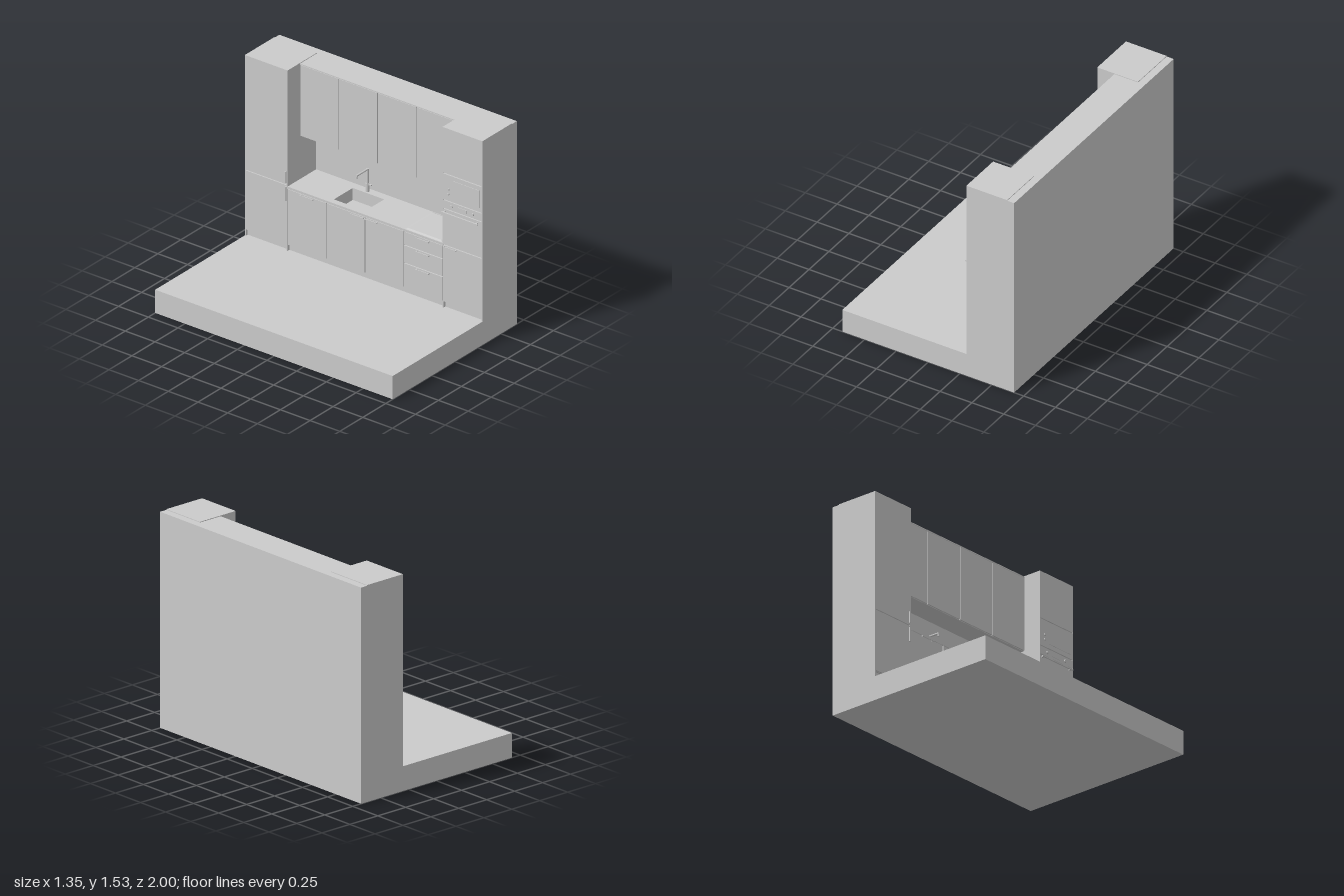
import * as THREE from 'three';

const grey = new THREE.MeshStandardMaterial({ color: 0xcccccc });

export function createModel() {
  const root = new THREE.Group();
  root.name = 'kitchenWall';

  const add = (name, geometry) => {
    const mesh = new THREE.Mesh(geometry, grey);
    mesh.name = name;
    root.add(mesh);
    return mesh;
  };
  // Box given by its bounds
  const box = (name, x0, x1, y0, y1, z0, z1) =>
    add(name, new THREE.BoxGeometry(x1 - x0, y1 - y0, z1 - z0)
      .translate((x0 + x1) / 2, (y0 + y1) / 2, (z0 + z1) / 2));
  const cylinder = (name, r, length, x, y, z, alongX = false) => {
    const g = new THREE.CylinderGeometry(r, r, length, 20);
    if (alongX) g.rotateZ(Math.PI / 2);
    return add(name, g.translate(x, y, z));
  };
  // Horizontal slab with the sink opening cut through it
  const sink = { x0: 0.345, x1: 0.55, z0: -0.285, z1: -0.02 };
  const slab = (name, x0, x1, z0, z1, yTop, depth) => {
    const rect = (path, a, b, c, d) =>
      path.moveTo(a, c).lineTo(b, c).lineTo(b, d).lineTo(a, d).closePath();
    const shape = rect(new THREE.Shape(), x0, x1, z0, z1);
    shape.holes.push(rect(new THREE.Path(), sink.x0, sink.x1, sink.z0, sink.z1));
    const g = new THREE.ExtrudeGeometry(shape, { depth, bevelEnabled: false });
    return add(name, g.rotateX(Math.PI / 2).translate(0, yTop, 0));
  };

  const F = 0.3, floorY = 0.175, kick = 0.22, top = 1.535, counterY = 0.66;
  const zA = -0.64, zB = 0.665, gap = 0.003;

  const door = (name, x, y0, y1, z0, z1) =>
    box(name, x, x + 0.015, y0 + gap, y1 - gap, z0 + gap, z1 - gap);
  // Bar handle running along z, on two short posts
  const handle = (y, z, length = 0.11) => {
    box('handleBar', F - 0.014, F - 0.009, y - 0.004, y + 0.004, z - length / 2, z + length / 2);
    for (const s of [-1, 1]) {
      const c = z + s * (length / 2 - 0.005);
      box('handlePost', F - 0.01, F + 0.002, y - 0.004, y + 0.004, c - 0.004, c + 0.004);
    }
  };

  // Room shell
  box('floor', -0.675, 0.675, 0, floorY, -1, 1);
  box('wall', 0.61, 0.675, floorY, 1.53, -1, 1);
  box('plinth', F + 0.02, 0.61, floorY, kick, -1, 1);

  // Tall units at both ends, each a carcass with side panels
  for (const [z0, z1] of [[-1, zA], [zB, 1]]) {
    box('tallCarcass', F + 0.01, 0.62, kick, top - 0.004, z0 + 0.002, z1 - 0.002);
    for (const z of [z0, z1 - 0.008]) {
      box('tallSidePanel', F, 0.62, floorY, top, z, z + 0.008);
    }
    box('tallTopPanel', F, 0.62, top - 0.008, top, z0, z1);
  }
  // Fridge doors with upright handles
  door('fridgeLowerDoor', F, kick, 0.67, -0.995, zA - 0.005);
  door('fridgeUpperDoor', F, 0.67, 1.53, -0.995, zA - 0.005);
  box('fridgeLowerHandle', F - 0.01, F + 0.002, 0.55, 0.655, zA - 0.018, zA - 0.01);
  box('fridgeUpperHandle', F - 0.01, F + 0.002, 0.685, 0.77, zA - 0.018, zA - 0.01);

  // Appliance tower: cupboard, oven, microwave, cupboard
  const t0 = zB + 0.005, t1 = 0.995;
  door('towerLowerDoor', F, kick, 0.65, t0, t1);
  handle(0.64, 0.73);
  door('ovenDoor', F, 0.65, 0.925, t0, t1);
  door('ovenPanel', F, 0.925, 0.99, t0, t1);
  door('microwaveFront', F, 0.99, 1.19, t0, t1);
  door('towerUpperDoor', F, 1.19, 1.53, t0, t1);
  box('microwaveWindow', F - 0.003, F + 0.01, 1.025, 1.155, 0.75, 0.975);
  for (const y of [1.045, 1.08]) cylinder('microwaveKnob', 0.009, 0.01, F - 0.004, y, 0.715, true);
  box('ovenDisplay', F - 0.003, F + 0.005, 0.945, 0.97, 0.79, 0.87);
  for (const z of [0.74, 0.92]) cylinder('ovenKnob', 0.011, 0.012, F - 0.004, 0.957, z, true);
  box('ovenHandle', F - 0.025, F - 0.016, 0.901, 0.909, 0.67, 0.975);
  for (const z of [0.685, 0.96]) box('ovenHandlePost', F - 0.02, F + 0.002, 0.901, 0.909, z - 0.005, z + 0.005);

  // Base units: three door units and one stack of drawers
  box('baseCarcass', F + 0.01, 0.61, kick, 0.55, zA, zB);
  slab('sinkHousing', F + 0.01, 0.61, zA, zB, 0.645, 0.08);
  box('sinkBottom', sink.x0 - 0.005, sink.x1 + 0.005, 0.55, 0.57, sink.z0 - 0.005, sink.z1 + 0.005);
  cylinder('sinkDrain', 0.018, 0.004, 0.45, 0.571, -0.15);
  slab('countertop', F, 0.61, zA, zB, counterY, 0.017);
  const unit = (zB - zA) / 4;
  const handleZ = [-0.475, -0.05, 0.065];
  for (let i = 0; i < 3; i++) {
    door('baseDoor', F, kick, 0.643, zA + i * unit, zA + (i + 1) * unit);
    handle(0.633, handleZ[i]);
  }
  const rows = [kick, 0.405, 0.54, 0.643];
  for (let i = 0; i < 3; i++) {
    door('drawerFront', F, rows[i], rows[i + 1], zA + 3 * unit, zB);
    handle(rows[i + 1] - 0.013, 0.5);
  }

  // Hob: a thin plate with chamfered edges
  const hob = new THREE.BoxGeometry(0.3, 0.006, 0.31).toNonIndexed();
  const p = hob.attributes.position;
  for (let i = 0; i < p.count; i++) {
    if (p.getY(i) > 0) {
      p.setX(i, p.getX(i) - Math.sign(p.getX(i)) * 0.015);
      p.setZ(i, p.getZ(i) - Math.sign(p.getZ(i)) * 0.015);
    }
  }
  hob.computeVertexNormals();
  add('hob', hob.translate(0.455, counterY + 0.003, 0.5));

  // Tap
  cylinder('tapBase', 0.014, 0.06, 0.575, counterY + 0.03, -0.18);
  cylinder('tapStem', 0.009, 0.17, 0.575, counterY + 0.085, -0.18);
  cylinder('tapSpout', 0.007, 0.13, 0.515, counterY + 0.165, -0.18, true);
  cylinder('tapNozzle', 0.007, 0.025, 0.457, counterY + 0.156, -0.18);
  box('tapLever', 0.57, 0.58, counterY + 0.05, counterY + 0.058, -0.18, -0.145);

  // Wall cupboards
  const U = 0.435, lowY = 0.985;
  box('wallCupboardCarcass', U + 0.01, 0.61, lowY, 1.53, zA, zB);
  box('wallCupboardTop', U, 0.61, 1.522, 1.53, zA, zB);
  for (let i = 0; i < 4; i++) {
    door('wallCupboardDoor', U, lowY, 1.523, zA + i * unit, zA + (i + 1) * unit);
  }
  return root;
}
